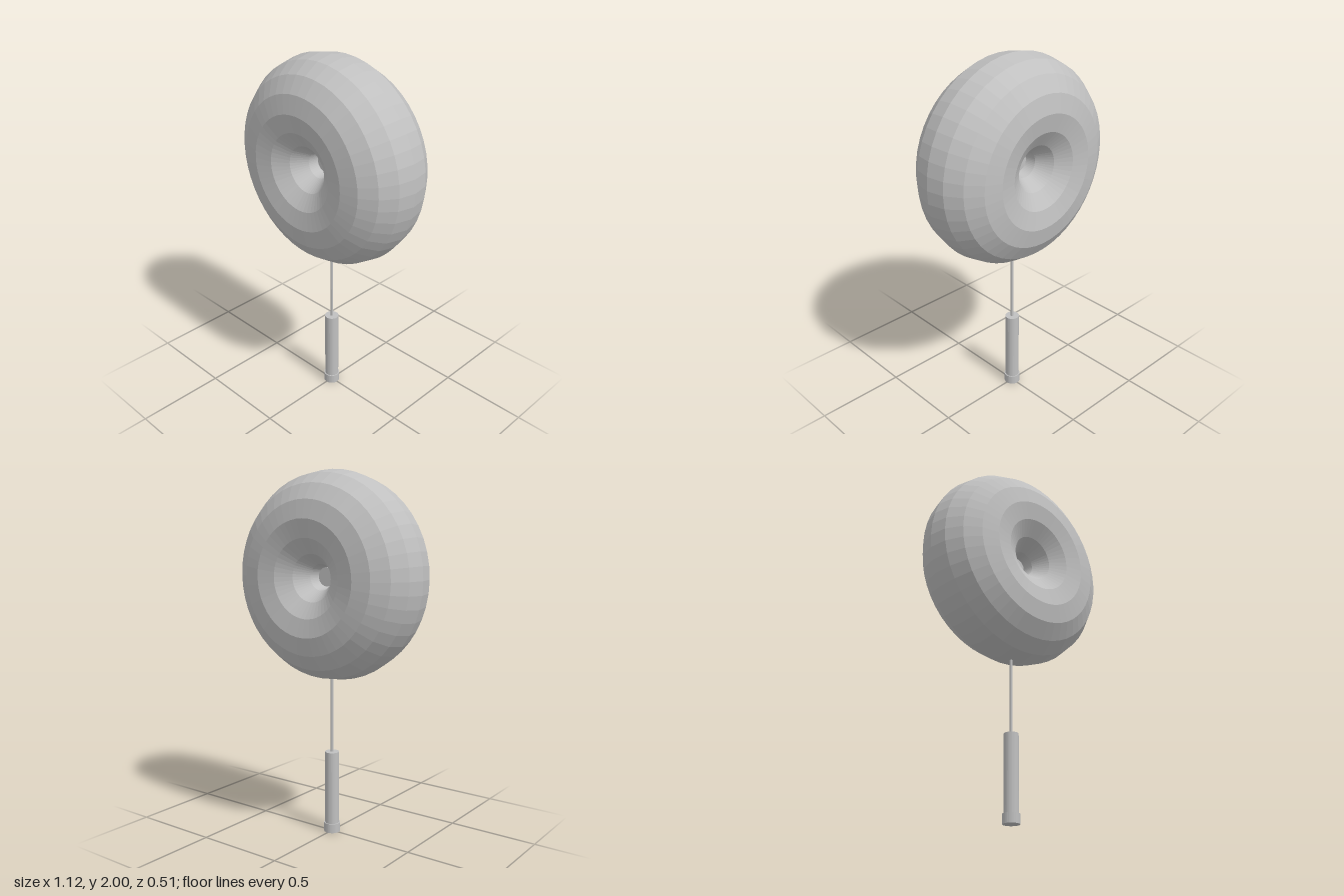
import * as THREE from 'three';

export function createModel() {
  const model = new THREE.Group();
  const grey = new THREE.MeshStandardMaterial({ color: 0xc0c0c0, flatShading: true });
  grey.name = 'light grey';

  const add = (name, geometry, y) => {
    const mesh = new THREE.Mesh(geometry, grey);
    mesh.name = name;
    mesh.position.y = y;
    model.add(mesh);
    return mesh;
  };
  // Upright cylinder standing between two heights
  const post = (name, radius, bottom, top, sides) =>
    add(name, new THREE.CylinderGeometry(radius, radius, top - bottom, sides), (bottom + top) / 2);

  // Fat faceted ring, with a small plug closing its hole
  const ringY = 1.439;
  add('ring', new THREE.TorusGeometry(0.306, 0.255, 16, 48), ringY);
  const plug = add('hubPlug', new THREE.CylinderGeometry(0.051, 0.051, 0.1, 32), ringY);
  plug.rotation.x = Math.PI / 2;

  // Thin stick, grip and end cap
  post('stick', 0.008, 0.44, 0.92, 16);
  post('handle', 0.039, 0.03, 0.465, 32);
  post('endCap', 0.045, 0, 0.052, 32);

  return model;
}
